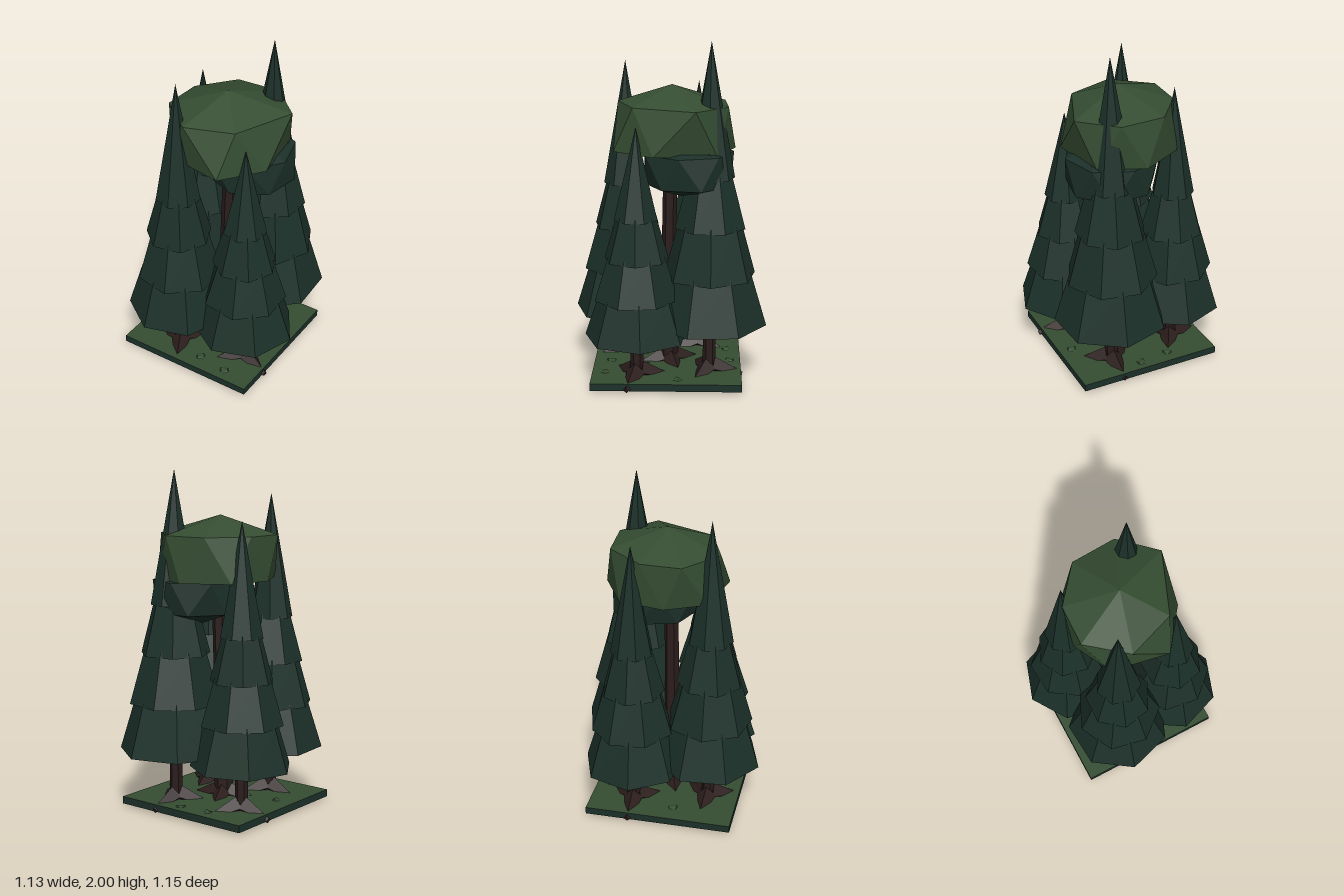
import * as THREE from 'three';

const mat = (name, color) => {
  const m = new THREE.MeshStandardMaterial({ color, side: THREE.DoubleSide });
  m.flatShading = true;
  m.name = name;
  return m;
};

export function createModel() {
  const green = mat('moss green', 0x354d32);
  const teal = mat('pine green', 0x1c3029);
  const bark = mat('dark bark', 0x2b1d1c);
  const model = new THREE.Group();
  model.name = 'forestTile';

  const add = (parent, name, geo, material, x = 0, y = 0, z = 0) => {
    const mesh = new THREE.Mesh(geo, material);
    mesh.name = name;
    mesh.position.set(x, y, z);
    parent.add(mesh);
    return mesh;
  };

  // tapered stick between two points
  const stick = (parent, name, a, b, rA, rB, sides, turn = 0) => {
    const dir = b.clone().sub(a);
    const mid = a.clone().add(b).multiplyScalar(0.5);
    const geo = new THREE.CylinderGeometry(rB, rA, dir.length(), sides, 1, false, turn);
    const mesh = add(parent, name, geo, bark, mid.x, mid.y, mid.z);
    mesh.quaternion.setFromUnitVectors(new THREE.Vector3(0, 1, 0), dir.normalize());
  };

  // ridged roots lying half in the ground, one edge up
  const roots = (parent, count, reach, degrees) => {
    for (let i = 0; i < count; i++) {
      const a = THREE.MathUtils.degToRad(degrees) + (i * Math.PI * 2) / count;
      const at = (r, y) => new THREE.Vector3(Math.sin(a) * r, y, Math.cos(a) * r);
      stick(parent, 'root', at(0.02, 0.073), at(reach, 0.02), 0.058, 0.016, 4, a);
    }
  };

  // ground slab
  add(model, 'ground', new THREE.BoxGeometry(0.88, 0.043, 0.88), [teal, teal, green, green, teal, teal], -0.01, 0.0335, 0.006);

  // conifers: four stacked skirts, the last one a spike
  const conifer = (x, z, bottom, step, top, radius, degrees, rootDegrees) => {
    const tree = new THREE.Group();
    tree.name = 'conifer';
    tree.position.set(x, 0, z);
    const turn = THREE.MathUtils.degToRad(degrees);
    const scale = [1, 0.81, 0.62, 0.42];
    for (let i = 0; i < 4; i++) {
      const y = bottom + i * step;
      const h = i < 3 ? step * 1.1 : top - y;
      const rTop = i < 3 ? radius * scale[i + 1] * 0.88 : 0;
      add(tree, 'foliageTier', new THREE.CylinderGeometry(rTop, radius * scale[i], h, 7, 1, true, turn + i * 0.4),
        teal, 0, y + h / 2, 0);
    }
    stick(tree, 'trunk', new THREE.Vector3(0, 0.003, 0), new THREE.Vector3(0, bottom + step * 2, 0), 0.04, 0.03, 6);
    roots(tree, 3, 0.195, rootDegrees);
    model.add(tree);
  };
  conifer(-0.15, 0.26, 0.33, 0.263, 1.855, 0.316, -9, -95);
  conifer(0.17, -0.245, 0.35, 0.29, 2.0, 0.336, 119.2, 180);
  conifer(0.257, 0.18, 0.288, 0.235, 1.525, 0.306, 96.5, -46);
  conifer(-0.267, -0.175, 0.302, 0.252, 1.72, 0.3, 174.3, -90);

  // faceted crown from bottom to top: levels of [y, outline of x, z points]
  const SIDES = 7;
  const crown = (name, material, levels) => {
    const pos = [];
    const index = [];
    levels.forEach(([y, outline]) => outline.forEach(([x, z]) => pos.push(x, y, z)));
    for (let k = 0; k < levels.length - 1; k++) {
      for (let i = 0; i < SIDES; i++) {
        const j = (i + 1) % SIDES;
        const a = k * SIDES + i, b = k * SIDES + j;
        const c = a + SIDES, d = b + SIDES;
        index.push(a, b, c, b, d, c);
      }
    }
    const geo = new THREE.BufferGeometry();
    geo.setAttribute('position', new THREE.Float32BufferAttribute(pos, 3));
    geo.setIndex(index);
    const flat = geo.toNonIndexed();
    flat.computeVertexNormals();
    add(model, name, flat, material);
  };
  const ring = (cx, cz, r, turn = 0) => Array.from({ length: SIDES }, (_, i) => {
    const a = turn + (i * Math.PI * 2) / SIDES;
    return [cx + Math.sin(a) * r, cz + Math.cos(a) * r];
  });

  // tall broadleaf tree in the middle
  const tall = new THREE.Group();
  tall.name = 'tallTree';
  stick(tall, 'lowerTrunk', new THREE.Vector3(0, 0, 0), new THREE.Vector3(0.012, 0.5, 0), 0.06, 0.046, 6);
  stick(tall, 'upperTrunk', new THREE.Vector3(0.012, 0.48, 0), new THREE.Vector3(0.035, 1.4, -0.012), 0.046, 0.04, 6);
  roots(tall, 4, 0.21, 20);
  model.add(tall);
  crown('lowerCrown', teal, [
    [1.09, ring(0.11, -0.11, 0)],
    [1.175, ring(0.11, -0.12, 0.26, 0.95)],
    [1.36, ring(0.1, -0.11, 0.27, 1.4)],
    [1.45, ring(0.1, -0.11, 0)],
  ]);
  crown('upperCrown', green, [
    [1.35, ring(0.01, -0.02, 0)],
    [1.365, [[-0.19, 0.25], [0.15, 0.315], [0.33, 0.08], [0.27, -0.28], [0.01, -0.39], [-0.25, -0.25], [-0.305, 0.02]]],
    [1.625, [[-0.08, 0.3], [0.2, 0.2], [0.347, -0.16], [0.15, -0.345], [-0.12, -0.33], [-0.29, -0.12], [-0.3, 0.12]]],
    [1.735, ring(0.01, -0.02, 0)],
  ]);

  // low mossy mounds set into the slab
  const mounds = [[0.24, 0.37], [0.05, 0.345], [-0.16, -0.35], [0.03, -0.37], [-0.33, 0.08], [0.35, -0.06], [0.1, 0.14]];
  mounds.forEach(([x, z], i) => {
    const m = add(model, 'mound', new THREE.IcosahedronGeometry(0.045, 0), green, x, 0.033, z);
    m.scale.y = 0.8;
    m.rotation.y = i * 1.3;
  });

  return model;
}
